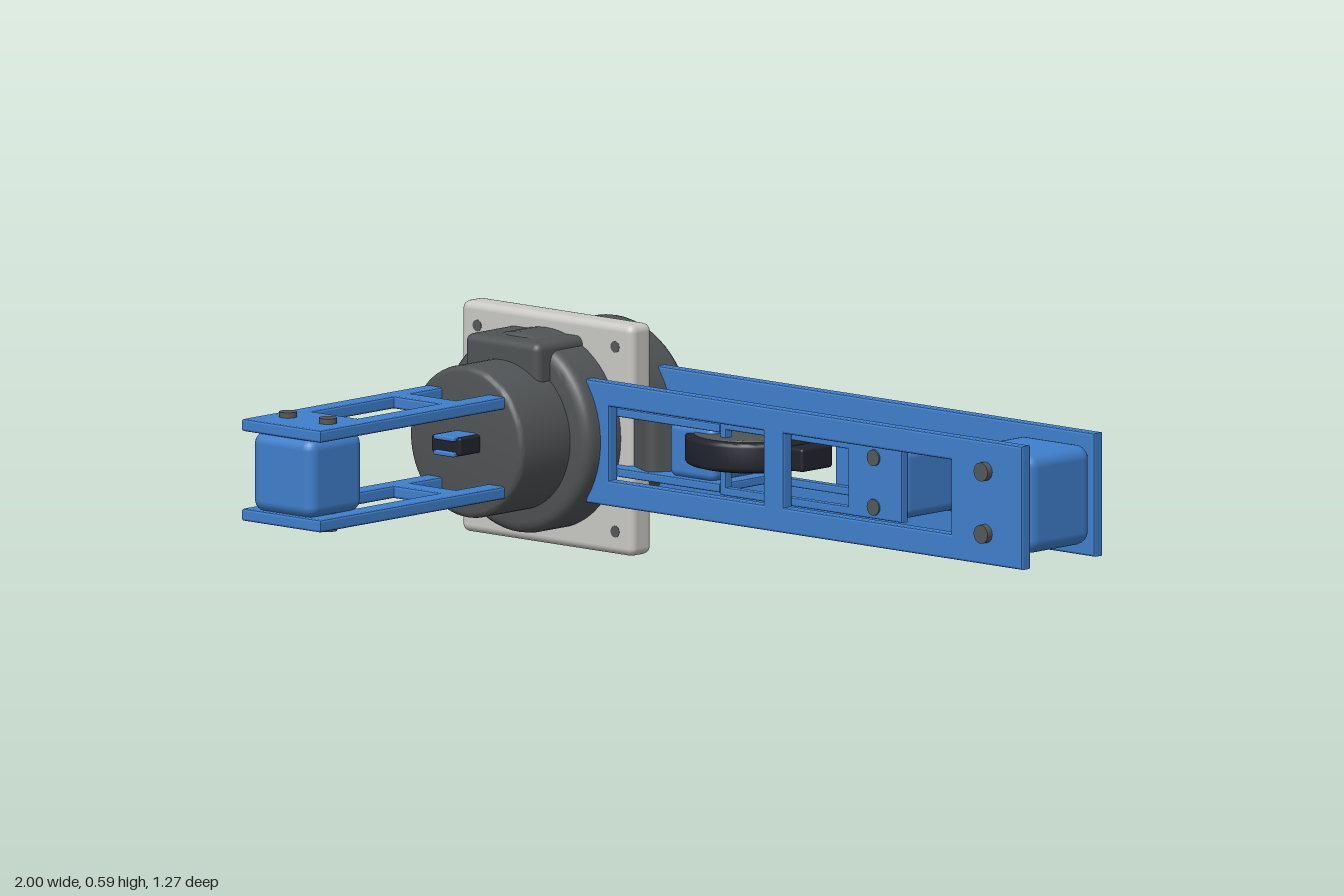
import * as THREE from 'three';
import { toCreasedNormals } from 'three/addons/utils/BufferGeometryUtils.js';
import { RoundedBoxGeometry } from 'three/addons/geometries/RoundedBoxGeometry.js';

const material = (name, color) => {
  const m = new THREE.MeshStandardMaterial({ color });
  m.name = name;
  return m;
};

export function createModel() {
  const blue = material('blue', 0x3f7fcc);
  const grey = material('dark grey', 0x505355);
  const black = material('near black', 0x20232b);
  const light = material('light grey', 0xc9c8c4);
  const steel = material('bolt grey', 0x55585a);
  const root = new THREE.Group();
  root.name = 'robotArm';

  function add(parent, name, geometry, mat, x = 0, y = 0, z = 0) {
    const mesh = new THREE.Mesh(geometry, mat);
    mesh.name = name;
    mesh.position.set(x, y, z);
    parent.add(mesh);
    return mesh;
  }

  function group(name) {
    const g = new THREE.Group();
    g.name = name;
    root.add(g);
    return g;
  }

  // Box given by its limits, with rounded edges
  function block(parent, name, mat, [x0, x1], [y0, y1], [z0, z1], r = 0.03) {
    const g = new RoundedBoxGeometry(x1 - x0, y1 - y0, z1 - z0, 3, r);
    return add(parent, name, g, mat, (x0 + x1) / 2, (y0 + y1) / 2, (z0 + z1) / 2);
  }

  function rectangle(path, [u0, v0, u1, v1]) {
    path.moveTo(u0, v0);
    path.lineTo(u1, v0);
    path.lineTo(u1, v1);
    path.lineTo(u0, v1);
    path.closePath();
    return path;
  }

  // Bevelled plate with rectangular windows, centred on its thickness
  function plate(outline, windows, thickness, bevel = 0.006) {
    const shape = rectangle(new THREE.Shape(), outline);
    for (const w of windows) shape.holes.push(rectangle(new THREE.Path(), w));
    const g = new THREE.ExtrudeGeometry(shape, {
      depth: thickness - 2 * bevel, bevelEnabled: true, bevelThickness: bevel,
      bevelSize: bevel, bevelOffset: -bevel, bevelSegments: 2,
    });
    return g.translate(0, 0, bevel - thickness / 2);
  }
  // Lay a plate flat, so that its second axis runs along z
  const flat = (g) => g.rotateX(Math.PI / 2);

  // Drum along y with rounded rims
  function drum(radius, length, rim, segments = 64) {
    const points = [new THREE.Vector2(0, -length / 2)];
    for (const side of [-1, 1]) {
      for (let i = 0; i <= 4; i++) {
        const a = side < 0 ? -Math.PI / 2 + i * Math.PI / 8 : i * Math.PI / 8;
        points.push(new THREE.Vector2(radius - rim + rim * Math.cos(a),
          side * (length / 2 - rim) + rim * Math.sin(a)));
      }
    }
    points.push(new THREE.Vector2(0, length / 2));
    return toCreasedNormals(new THREE.LatheGeometry(points, segments), 0.5);
  }

  const bolt = (length, r = 0.024) => new THREE.CylinderGeometry(r, r, length, 20);

  // Motor and its mounting plate
  const base = group('base');
  const cx = -0.705, cy = 0.3;
  add(base, 'motorBody', drum(0.257, 0.405, 0.03).rotateX(Math.PI / 2), grey, cx, cy, -0.4375);
  add(base, 'motorNose', drum(0.195, 0.3, 0.015).rotateX(Math.PI / 2), grey, cx, cy, -0.205);
  block(base, 'connectorBox', grey, [-0.835, -0.58], [0.42, 0.548], [-0.4, -0.19], 0.02);
  block(base, 'connectorCap', grey, [-0.76, -0.66], [0.53, 0.553], [-0.36, -0.25], 0.01);
  block(base, 'mountingPlate', light, [-1, -0.41], [0, 0.593], [-0.435, -0.357], 0.02);
  for (const sx of [-1, 1]) for (const sy of [-1, 1]) {
    const hole = new THREE.CylinderGeometry(0.015, 0.015, 0.08, 16).rotateX(Math.PI / 2);
    add(base, 'mountingHole', hole, steel, cx + sx * 0.237, 0.297 + sy * 0.237, -0.396);
  }

  // Long arm: two upright side plates and an end block
  const arm = group('longArm');
  for (const z of [-0.568, -0.298]) {
    const g = plate([-0.5, 0.14, 1, 0.457],
      [[-0.42, 0.205, 0.11, 0.395], [0.18, 0.205, 0.755, 0.395]], 0.034);
    add(arm, 'longArmSidePlate', g, blue, 0, 0, z);
  }
  block(arm, 'longArmEndBlock', blue, [0.755, 0.997], [0.172, 0.428], [-0.552, -0.314], 0.035);
  for (const y of [0.22, 0.38]) {
    add(arm, 'longArmBolt', bolt(0.34).rotateX(Math.PI / 2), steel, 0.875, y, -0.433);
  }

  // Inner arm nested between the side plates
  const inner = group('innerArm');
  for (const z of [-0.54, -0.328]) {
    const g = plate([-0.07, 0.205, 0.555, 0.395], [[-0.05, 0.226, 0.37, 0.374]], 0.024, 0.004);
    add(inner, 'innerArmSidePlate', g, blue, 0, 0, z);
  }
  block(inner, 'innerArmBlock', blue, [0.37, 0.553], [0.21, 0.39], [-0.54, -0.328], 0.025);
  for (const y of [0.235, 0.362]) {
    add(inner, 'innerArmBolt', bolt(0.245, 0.021).rotateX(Math.PI / 2), steel, 0.46, y, -0.434);
  }

  // Wrist: flat bracket, elbow housing and wheel
  const wrist = group('wrist');
  for (const y of [0.222, 0.376]) {
    add(wrist, 'wristPlate', flat(plate([-0.5, -0.552, -0.07, -0.315], [], 0.022, 0.004)), blue, 0, y, 0);
  }
  block(wrist, 'wristBlock', blue, [-0.26, -0.105], [0.23, 0.37], [-0.54, -0.328], 0.02);
  for (const z of [-0.505, -0.372]) {
    add(wrist, 'wristBolt', bolt(0.19, 0.02), steel, -0.165, 0.3, z);
  }
  const elbow = block(wrist, 'elbowHousing', grey, [-0.49, -0.25], [0.208, 0.392], [-0.53, -0.35], 0.025);
  elbow.position.set(-0.385, 0.3, -0.455);
  elbow.rotation.y = -0.48;
  add(wrist, 'wheelTyre', drum(0.172, 0.076, 0.012), black, -0.068, 0.312, -0.437);
  add(wrist, 'wheelFace', drum(0.15, 0.084, 0.004), grey, -0.068, 0.312, -0.437);
  block(wrist, 'wheelStop', black, [0.05, 0.155], [0.28, 0.34], [-0.495, -0.38], 0.008);

  // Short arm pointing forward: two flat plates and an end block
  const short = group('shortArm');
  for (const y of [0.185, 0.415]) {
    const g = plate([-0.84, -0.12, -0.57, 0.633],
      [[-0.785, -0.08, -0.63, 0.062], [-0.785, 0.125, -0.63, 0.43]], 0.032);
    add(short, 'shortArmPlate', flat(g), blue, 0, y, 0);
  }
  block(short, 'shortArmEndBlock', blue, [-0.81, -0.6], [0.198, 0.402], [0.435, 0.635], 0.03);
  for (const x of [-0.774, -0.637]) {
    add(short, 'shortArmBolt', bolt(0.29, 0.023), steel, x, 0.3, 0.532);
  }

  // Small latch between the plates of the short arm
  for (const y of [0.281, 0.321]) {
    block(short, 'latchFork', blue, [-0.738, -0.668], [y - 0.006, y + 0.006], [-0.08, 0.03], 0.004);
  }
  block(short, 'latchPin', black, [-0.755, -0.655], [0.278, 0.324], [-0.08, 0.018], 0.006);
  return root;
}
